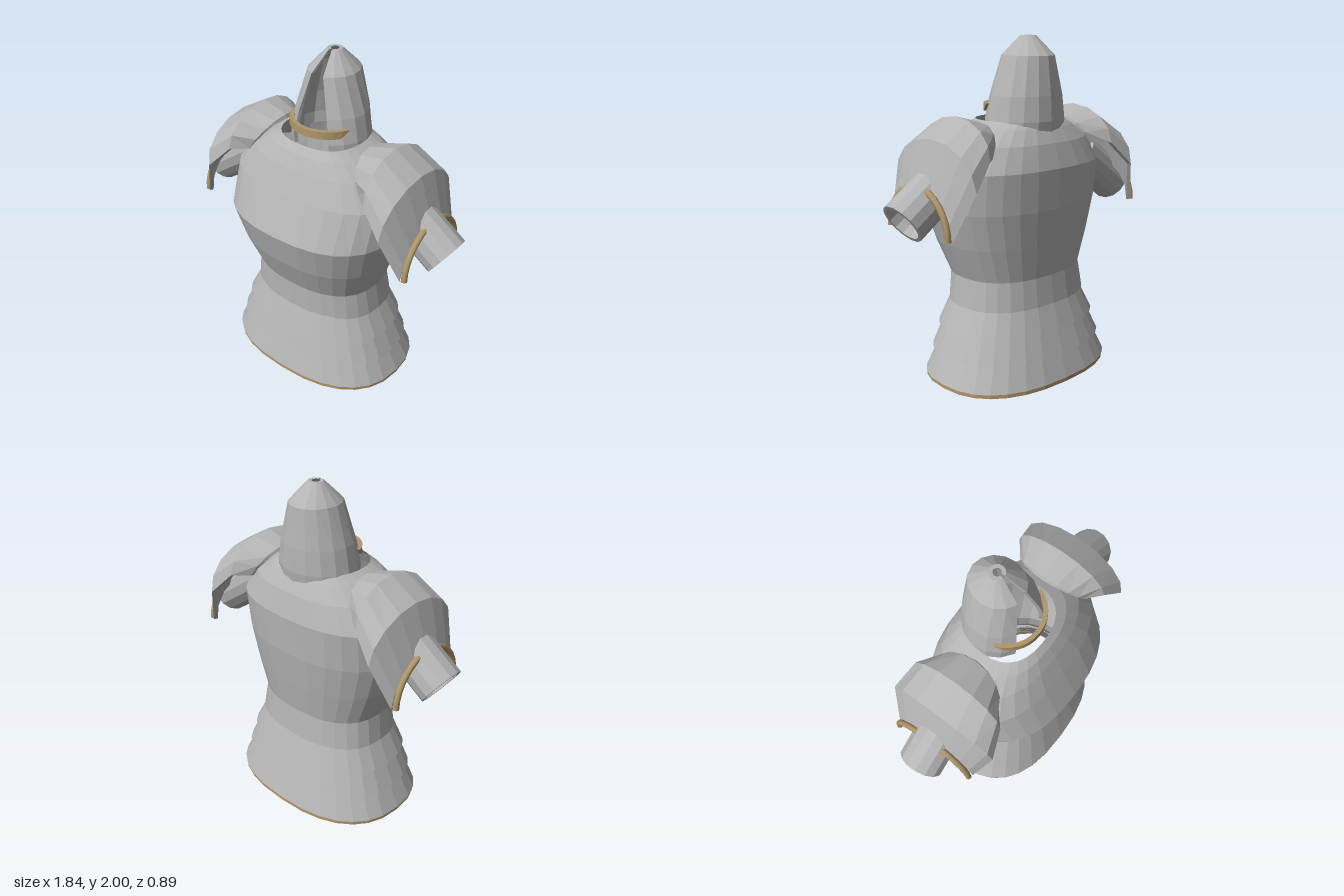
import * as THREE from 'three';

const steel = new THREE.MeshStandardMaterial({ color: 0xb4b4b4, side: THREE.DoubleSide });
steel.name = 'steel';
const brass = new THREE.MeshStandardMaterial({ color: 0xb0976a, side: THREE.DoubleSide });
brass.name = 'brass';

function add(parent, name, geometry, material) {
  const mesh = new THREE.Mesh(geometry, material);
  mesh.name = name;
  parent.add(mesh);
  return mesh;
}

// Flat-faceted skin over rows of points; each row is a closed loop
function loft(rows) {
  const pos = [];
  const tri = (a, b, c) => {
    const area = b.clone().sub(a).cross(c.clone().sub(a)).length();
    if (area > 1e-9) for (const p of [a, b, c]) pos.push(p.x, p.y, p.z);
  };
  for (let i = 0; i + 1 < rows.length; i++) {
    const n = rows[i].length;
    for (let j = 0; j < n; j++) {
      const k = (j + 1) % n;
      tri(rows[i][j], rows[i + 1][j], rows[i + 1][k]);
      tri(rows[i][j], rows[i + 1][k], rows[i][k]);
    }
  }
  const g = new THREE.BufferGeometry();
  g.setAttribute('position', new THREE.Float32BufferAttribute(pos, 3));
  g.computeVertexNormals();
  return g;
}

// Open plate with thickness: outer and inner rows are joined along every edge
function plate(outer, inner) {
  const join = (a, b) => [...a, ...[...b].reverse()];
  const n = outer.length - 1;
  return loft([
    join(inner[0], inner[0]),
    ...outer.map((row, i) => join(row, inner[i])),
    join(inner[n], inner[n]),
  ]);
}

// Rounded body section: height, half width, front z, back z, inset
function bodyRing([y, hx, zf, zb], inset = 0, n = 28) {
  const power = (v) => Math.sign(v) * Math.abs(v) ** 0.82;
  const cz = (zf + zb) / 2, hz = (zf - zb) / 2;
  return Array.from({ length: n }, (_, j) => {
    const a = (j / n) * Math.PI * 2;
    return new THREE.Vector3((hx - inset) * power(Math.sin(a)), y, cz + (hz - inset) * power(Math.cos(a)));
  });
}

// Overlapping band with a thick lower lip
function band(top, bottom, inset) {
  return loft([bodyRing(top), bodyRing(bottom), bodyRing(bottom, inset), bodyRing(top, inset)]);
}

// Arc around the vertical axis from angle a0 to a1, measured from the front
function arc(y, cz, rx, rz, a0, a1, n) {
  return Array.from({ length: n + 1 }, (_, j) => {
    const a = THREE.MathUtils.degToRad(a0 + ((a1 - a0) * j) / n);
    return new THREE.Vector3(rx * Math.sin(a), y, cz + rz * Math.cos(a));
  });
}

function buildTorso(group) {
  const rows = [
    [1.53, 0.25, 0.195, -0.25], [1.49, 0.33, 0.235, -0.28], [1.41, 0.44, 0.28, -0.325],
    [1.27, 0.545, 0.345, -0.367], [1.04, 0.54, 0.443, -0.36], [0.83, 0.482, 0.385, -0.335],
    [0.63, 0.41, 0.305, -0.308], [0.46, 0.435, 0.305, -0.33],
  ];
  add(group, 'breastplate', loft(rows.map((r) => bodyRing(r))), steel);

  // Three flared waist bands and the brass hem
  add(group, 'upperSkirtBand', band([0.47, 0.42, 0.31, -0.325], [0.315, 0.5, 0.36, -0.38], 0.03), steel);
  add(group, 'middleSkirtBand', band([0.32, 0.472, 0.34, -0.357], [0.17, 0.545, 0.388, -0.412], 0.03), steel);
  add(group, 'lowerSkirtBand', band([0.175, 0.513, 0.365, -0.387], [0.024, 0.592, 0.415, -0.443], 0.03), steel);
  const hem = [0.026, 0, 0.026].map((y) => [y, 0.587, 0.413, -0.44]);
  add(group, 'hemTrim', loft([bodyRing(hem[0]), bodyRing(hem[1]), bodyRing(hem[1], 0.035),
    bodyRing(hem[2], 0.035), bodyRing(hem[0])]), brass);
}

function buildHelmet(group) {
  // Height, centre z, x radius, z radius, half angle of the face slit
  const rows = [
    [2.0, -0.105, 0.045, 0.045, 12], [1.89, -0.105, 0.145, 0.16, 16],
    [1.67, -0.09, 0.216, 0.2, 27], [1.53, -0.08, 0.242, 0.218, 31], [1.46, -0.08, 0.245, 0.21, 31],
  ];
  const hood = (inset) => rows.map(([y, cz, rx, rz, gap]) =>
    arc(y, cz, rx - inset, rz - inset, gap, 360 - gap, 14));
  add(group, 'helmet', plate(hood(0), hood(0.022)), steel);

  // Band across the face opening, tapered at its ends
  const visor = (inset) => [[1.62, 71], [1.575, 57]].map(([y, a]) =>
    arc(y, -0.05, 0.22 - inset, 0.22 - inset, -a, a, 12));
  add(group, 'visorBand', plate(visor(0), visor(0.025)), brass);
}

function buildShoulder(side, sign) {
  const cz = -0.028;

  // Arches: x at crown, x at lower edge, base y, height, half depth
  const arches = [
    [0.305, 0.4, 1.36, 0.17, 0.22], [0.475, 0.49, 1.36, 0.215, 0.3],
    [0.65, 0.625, 1.22, 0.25, 0.347], [0.735, 0.725, 0.965, 0.25, 0.27],
  ];
  const shell = (inset) => arches.map(([xTop, xLow, base, h, hw]) =>
    Array.from({ length: 9 }, (_, j) => {
      const a = (1 - j / 4) * Math.PI / 2;
      return new THREE.Vector3(THREE.MathUtils.lerp(xLow, xTop, Math.cos(a)) - inset * 0.4,
        base + (h - inset) * Math.cos(a), cz + (hw - inset) * Math.sin(a));
    }));
  add(side, 'pauldron', plate(shell(0), shell(0.022)), steel);

  // Hollow upper-arm sleeve
  const sleeve = new THREE.LatheGeometry(
    [[0.11, 0.21], [0.11, -0.21], [0.132, -0.21], [0.132, 0.21], [0.11, 0.21]]
      .map(([r, y]) => new THREE.Vector2(r, y)), 14).toNonIndexed();
  sleeve.computeVertexNormals();
  const arm = add(side, 'armSleeve', sleeve, steel);
  arm.rotation.z = -Math.atan2(0.82, -0.575);
  arm.position.set(0.675, 1.156, cz);

  // Brass arch along the outer rim, with closed ends
  const trim = new THREE.Group();
  trim.name = 'pauldronTrim';
  trim.position.set(0.745, 0.968, cz);
  trim.rotation.y = Math.PI / 2;
  add(trim, 'rimArch', new THREE.TorusGeometry(0.255, 0.018, 8, 16, Math.PI), brass);
  for (const x of [-0.255, 0.255]) {
    const end = add(trim, 'rimEnd', new THREE.CircleGeometry(0.018, 8), brass);
    end.rotation.x = Math.PI / 2;
    end.position.x = x;
  }
  side.add(trim);
  side.scale.x = sign;
}

export function createModel() {
  const model = new THREE.Group();
  model.name = 'armour';
  buildTorso(model);
  buildHelmet(model);
  for (const sign of [1, -1]) {
    const side = new THREE.Group();
    side.name = sign > 0 ? 'leftShoulder' : 'rightShoulder';
    buildShoulder(side, sign);
    model.add(side);
  }
  return model;
}
